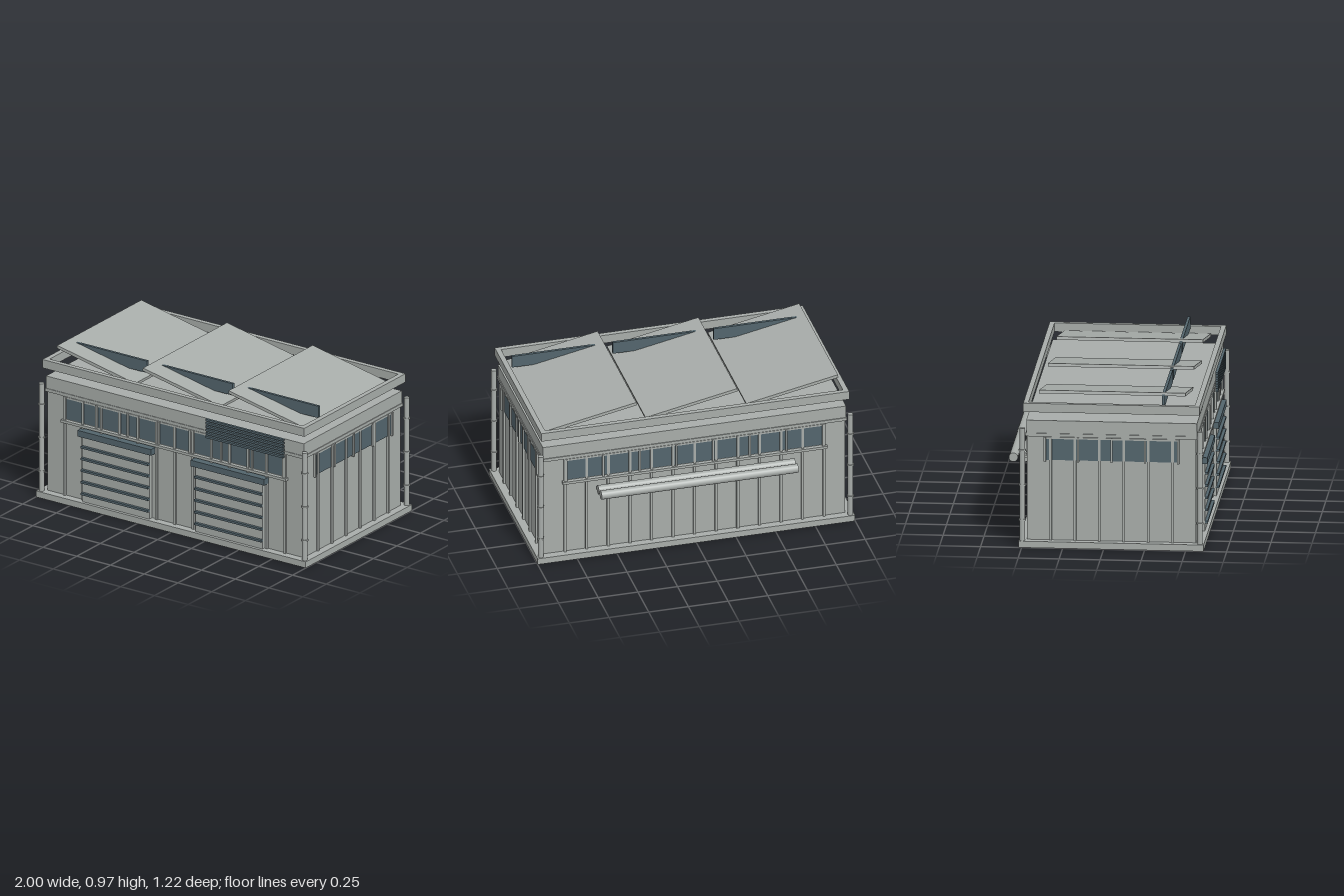
import * as THREE from 'three';

const ZC = 0.045; // depth centre of the building

export function createModel() {
  const model = new THREE.Group();
  model.name = 'workshop';
  const grey = new THREE.MeshStandardMaterial({ color: 0xa8adaa });
  grey.name = 'pale grey metal';
  const slate = new THREE.MeshStandardMaterial({ color: 0x53656d });
  slate.name = 'slate blue';

  // box from its limits on each axis
  const box = (parent, name, mat, x0, x1, y0, y1, z0, z1) => {
    const m = new THREE.Mesh(new THREE.BoxGeometry(x1 - x0, y1 - y0, z1 - z0), mat);
    m.position.set((x0 + x1) / 2, (y0 + y1) / 2, (z0 + z1) / 2);
    m.name = name;
    parent.add(m);
    return m;
  };

  // base, walls and parapet
  box(model, 'base', grey, -1, 1, 0, 0.04, -0.52, 0.61);
  box(model, 'walls', grey, -0.95, 0.95, 0.04, 0.69, -0.47, 0.56);
  box(model, 'eavesTrim', grey, -0.96, 0.96, 0.69, 0.71, -0.48, 0.57);
  box(model, 'parapet', grey, -0.955, 0.955, 0.71, 0.79, -0.475, 0.566);

  // wall dressing: battens, window strip, mullions and sill; local +z faces out
  const facade = (name, x, z, turn, battens, pitch, panes, paneWidth, sill) => {
    const g = new THREE.Group();
    g.name = name;
    g.position.set(x, 0, z);
    g.rotation.y = turn;
    model.add(g);
    const half = (panes * paneWidth) / 2;
    box(g, 'windowStrip', slate, -half, half, 0.543, 0.676, -0.002, 0.006);
    box(g, 'windowHead', grey, -half - 0.006, half + 0.006, 0.676, 0.688, 0, 0.01);
    for (let i = 0; i < battens; i++) {
      const c = (i - (battens - 1) / 2) * pitch;
      box(g, 'batten', grey, c - 0.008, c + 0.008, 0.04, 0.69, 0, 0.013);
    }
    for (let i = 0; i <= panes; i++) {
      const c = -half + i * paneWidth;
      box(g, 'mullion', grey, c - 0.006, c + 0.006, 0.535, 0.688, 0, 0.017);
    }
    if (sill) box(g, 'sill', grey, -half - 0.025, half + 0.025, 0.52, 0.537, 0, 0.025);
  };
  facade('frontFacade', 0, 0.56, 0, 13, 0.136, 7, 0.231, true);
  facade('backFacade', 0, -0.47, Math.PI, 13, 0.136, 7, 0.231, true);
  facade('leftFacade', 0.95, ZC, Math.PI / 2, 6, 0.149, 4, 0.2035, false);
  facade('rightFacade', -0.95, ZC, -Math.PI / 2, 6, 0.149, 4, 0.2035, false);

  // roller doors with dark ribs and headers
  for (const c of [-0.421, 0.418]) {
    const door = new THREE.Group();
    door.name = 'rollerDoor';
    door.position.x = c;
    model.add(door);
    box(door, 'doorPanel', grey, -0.248, 0.248, 0.04, 0.47, 0.56, 0.59);
    box(door, 'doorHeader', slate, -0.273, 0.273, 0.468, 0.508, 0.56, 0.608);
    for (let i = 0; i < 5; i++) {
      const y = 0.096 + i * 0.0765;
      box(door, 'doorRib', slate, -0.248, 0.248, y - 0.007, y + 0.007, 0.585, 0.608);
    }
  }

  // louvre slats over the parapet
  for (let i = 0; i < 6; i++) {
    const y = 0.79 - i * 0.0222;
    box(model, 'louvreSlat', slate, 0.245, 0.82, y - 0.0065, y + 0.0065, 0.577, 0.594);
  }

  // corner downpipes with clamps
  const pipeGeo = new THREE.CylinderGeometry(0.017, 0.017, 0.705, 12);
  const clampGeo = new THREE.CylinderGeometry(0.022, 0.022, 0.01, 12);
  for (const x of [-0.975, 0.975]) {
    for (const z of [-0.498, 0.585]) {
      const pipe = new THREE.Group();
      pipe.name = 'downpipe';
      pipe.position.set(x, 0, z);
      const shaft = new THREE.Mesh(pipeGeo, grey);
      shaft.name = 'pipeShaft';
      shaft.position.y = 0.3925;
      pipe.add(shaft);
      for (const y of [0.17, 0.39, 0.608]) {
        const clamp = new THREE.Mesh(clampGeo, grey);
        clamp.name = 'pipeClamp';
        clamp.position.y = y;
        pipe.add(clamp);
      }
      model.add(pipe);
    }
  }

  // long service pipes along the back
  for (const z of [-0.515, -0.582]) {
    const pipe = new THREE.Mesh(new THREE.CylinderGeometry(0.028, 0.028, 1.24, 16), grey);
    pipe.name = 'servicePipe';
    pipe.rotation.z = Math.PI / 2;
    pipe.position.set(0, 0.465, z);
    model.add(pipe);
  }

  // raised roof frame, open in the middle
  const rect = (P, w, d) => {
    const p = new P();
    p.moveTo(-w, -d); p.lineTo(w, -d); p.lineTo(w, d); p.lineTo(-w, d); p.closePath();
    return p;
  };
  const ring = rect(THREE.Shape, 0.97, 0.538);
  ring.holes.push(rect(THREE.Path, 0.938, 0.507));
  const frameGeo = new THREE.ExtrudeGeometry(ring, { depth: 0.055, bevelEnabled: false });
  frameGeo.rotateX(-Math.PI / 2);
  const frame = new THREE.Mesh(frameGeo, grey);
  frame.name = 'roofFrame';
  frame.position.set(0, 0.845, ZC);
  model.add(frame);

  // sawtooth roof panels, each with an upright fin
  for (let i = -1; i <= 1; i++) {
    const c = i * 0.635 - 0.002;
    const panel = box(model, 'roofPanel', grey, c - 0.294, c + 0.294, 0.8955, 0.9155, -0.4, 0.492);
    panel.rotation.z = -0.196;
    box(model, 'roofFin', slate, c - 0.291, c + 0.291, 0.885, 0.962, 0.35, 0.367);
  }
  return model;
}
